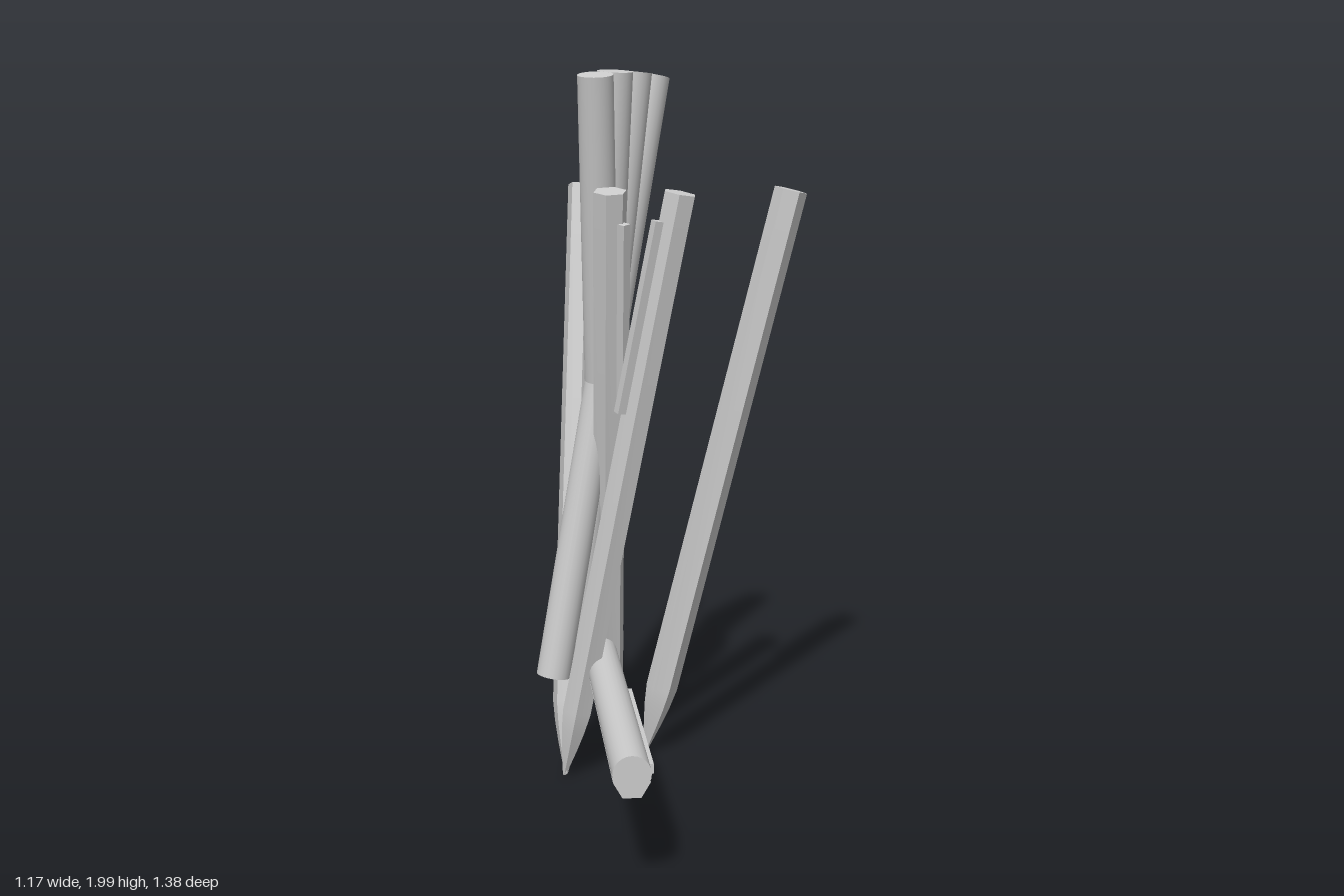
import * as THREE from 'three';
import { toCreasedNormals } from 'three/addons/utils/BufferGeometryUtils.js';

const LENGTH = 1.71;
const RADIUS = 0.048;

export function createModel() {
  const model = new THREE.Group();
  const grey = new THREE.MeshStandardMaterial({ color: 0xcccccc });
  const vec = (a) => new THREE.Vector3(...a);

  // Shared shapes, centred on their own long axis (top at +y)
  const rodGeometry = new THREE.CylinderGeometry(RADIUS, RADIUS, LENGTH, 24);
  const h = LENGTH / 2;
  const profile = [
    [0, -h], [0.005, -h], [0.025, -h + 0.085], [0.038, -h + 0.15],
    [0.046, -h + 0.21], [0.046, h], [0, h],
  ].map(([r, y]) => new THREE.Vector2(r, y));
  const barrelGeometry = toCreasedNormals(new THREE.LatheGeometry(profile, 6), 0.3);
  const clipGeometry = new THREE.BoxGeometry(0.026, 0.53, 0.026);

  // Aligns local y with the given axis and local z with the facing direction
  function align(object, centre, axis, facing) {
    const y = axis.clone().normalize();
    const z = facing.clone().addScaledVector(y, -facing.dot(y)).normalize();
    const x = new THREE.Vector3().crossVectors(y, z);
    object.quaternion.setFromRotationMatrix(new THREE.Matrix4().makeBasis(x, y, z));
    object.position.copy(centre);
    model.add(object);
  }

  function addRod(name, centre, axis) {
    const rod = new THREE.Mesh(rodGeometry, grey);
    rod.name = name;
    align(rod, vec(centre), vec(axis), new THREE.Vector3(0.3, 0, 1));
  }

  // Six-sided pointed pen with a side clip near its top
  function addPen(name, top, tip, clipDirection) {
    const pen = new THREE.Group();
    pen.name = name;
    const barrel = new THREE.Mesh(barrelGeometry, grey);
    barrel.name = 'penBarrel';
    const clip = new THREE.Mesh(clipGeometry, grey);
    clip.name = 'penClip';
    clip.position.set(0, h - 0.345, 0.049);
    pen.add(barrel, clip);
    const a = vec(top), b = vec(tip);
    align(pen, a.clone().add(b).multiplyScalar(0.5), a.clone().sub(b), vec(clipDirection));
  }

  // Fan of four rods crossing at mid height
  [-0.138, -0.046, 0.046, 0.138].forEach((z, i) => {
    addRod('fanRod' + (i + 1), [0, 1.143, 0], [0.075, 0.85, z]);
  });

  // Standing pens leaning outward
  addPen('backLeftPen', [0.405, 1.675, -0.335], [0.06, 0.01, -0.14], [-0.05, 0, -0.027]);
  addPen('frontLeftPen', [0.29, 1.675, 0.06], [-0.04, 0.01, 0.13], [-0.03, 0, 0.053]);
  addPen('frontPen', [0.122, 1.68, 0.138], [-0.075, 0.01, -0.14], [1, 0, 0.15]);
  addPen('backRightPen', [-0.21, 1.675, -0.208], [-0.035, 0.01, 0.13], [0.15, 0, -1]);

  // Crosswise rod with a pen lying along its underside
  addRod('crossRod', [0, 0.33, 0], [0.64, 0, 0.77]);
  addPen('crossPen', [0.547, 0.31, 0.658], [-0.547, 0.31, -0.658], [0.77, 0, -0.64]);

  return model;
}
